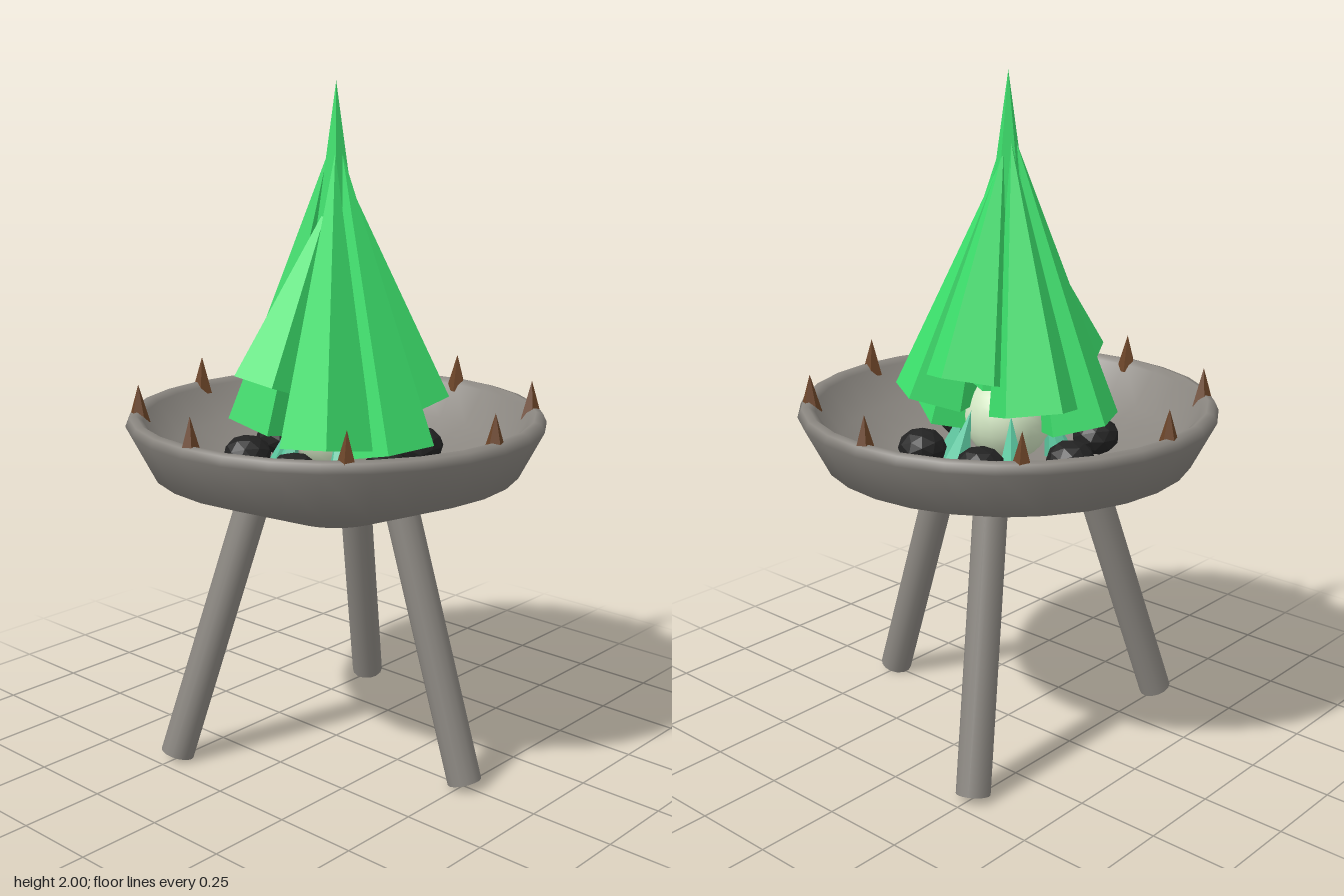
import * as THREE from 'three';

const material = (name, color, extra = {}) => {
  const m = new THREE.MeshStandardMaterial({ color, ...extra });
  m.name = name;
  return m;
};

export function createModel() {
  const root = new THREE.Group();
  root.name = 'brazier';
  const stone = material('stone grey', 0x8a8680);
  const flameGreen = material('flame green', 0x3ce06c, { flatShading: true });
  const teal = material('inner teal', 0x5cc8a0, { flatShading: true });
  const glow = material('pale glow', 0xd8ecc8);
  const coalBlack = material('coal black', 0x222222, { flatShading: true });
  const spikeBrown = material('spike brown', 0x6b4428, { flatShading: true });

  const add = (name, geometry, mat, parent = root) => {
    const mesh = new THREE.Mesh(geometry, mat);
    mesh.name = name;
    parent.add(mesh);
    return mesh;
  };
  const group = (name) => {
    const g = new THREE.Group();
    g.name = name;
    root.add(g);
    return g;
  };
  // Point at an angle (degrees from +x towards +z), radius and height
  const polar = (deg, r, y) => {
    const a = THREE.MathUtils.degToRad(deg);
    return new THREE.Vector3(Math.cos(a) * r, y, Math.sin(a) * r);
  };
  const up = new THREE.Vector3(0, 1, 0);
  // Stand a y-axis mesh between two points
  const span = (mesh, from, to) => {
    mesh.position.copy(from).lerp(to, 0.5);
    mesh.quaternion.setFromUnitVectors(up, to.clone().sub(from).normalize());
  };

  // Bowl, outside first, then over the rim and down the inside
  const profile = [
    [0, 0.73], [0.16, 0.73], [0.55, 0.88], [0.622, 1.02], [0.61, 1.045], [0.59, 1.05],
    [0.57, 1.035], [0.5, 0.93], [0.35, 0.87], [0.18, 0.835], [0, 0.83],
  ].map(([x, y]) => new THREE.Vector2(x, y));
  add('bowl', new THREE.LatheGeometry(profile, 28), stone);

  // Three splayed legs
  const legs = group('legs');
  for (let i = 0; i < 3; i++) {
    const from = polar(i * 120, 0.505, 0.015);
    const to = polar(i * 120, 0.26, 0.78);
    span(add('leg', new THREE.CylinderGeometry(0.05, 0.05, from.distanceTo(to), 14), stone, legs), from, to);
  }

  // Rim spikes
  const spikes = group('rimSpikes');
  for (let i = 0; i < 8; i++) {
    const spike = add('spike', new THREE.ConeGeometry(0.034, 0.115, 5), spikeBrown, spikes);
    spike.position.copy(polar(i * 45, 0.583, 1.072));
    spike.rotation.y = -i * Math.PI / 4;
  }

  // Coals around the fire
  const coals = group('coals');
  [15, 75, 131, 186, 246, 301].forEach((deg, i) => {
    const coal = add('coal', new THREE.IcosahedronGeometry(0.072, 1), coalBlack, coals);
    coal.position.copy(polar(deg, 0.265, 0.92));
    coal.scale.y = 0.8;
    coal.rotation.y = i * 1.3;
  });

  // Glowing core and small teal flames at its foot
  add('glowCore', new THREE.SphereGeometry(0.13, 20, 14), glow).position.y = 0.99;
  const embers = group('tealFlames');
  for (let i = 0; i < 6; i++) {
    const ember = add('tealFlame', new THREE.ConeGeometry(0.05, 0.2, 5), teal, embers);
    span(ember, polar(i * 60 + 45, 0.19, 0.84), polar(i * 60 + 45, 0.13, 1.03));
  }

  // Tall central flame and a leaning ring: angle, base height, tip height, base radius
  const flames = group('flames');
  const addFlame = (name, from, to, r) => {
    const cone = new THREE.ConeGeometry(r, from.distanceTo(to), 5).rotateY(-Math.PI / 6);
    span(add(name, cone, flameGreen, flames), from, to);
  };
  addFlame('centralFlame', polar(0, 0, 1.1), polar(0, 0, 2), 0.13);
  [
    [4, 0.96, 1.8, 0.14],
    [55, 0.98, 1.8, 0.14],
    [106, 1.14, 1.66, 0.12],
    [158, 0.99, 1.8, 0.13],
    [209, 1.06, 1.8, 0.135],
    [261, 1.15, 1.78, 0.125],
    [312, 1.06, 1.74, 0.13],
  ].forEach(([deg, base, tip, r]) => addFlame('outerFlame', polar(deg, 0.215, base), polar(deg, 0.025, tip), r));

  return root;
}
